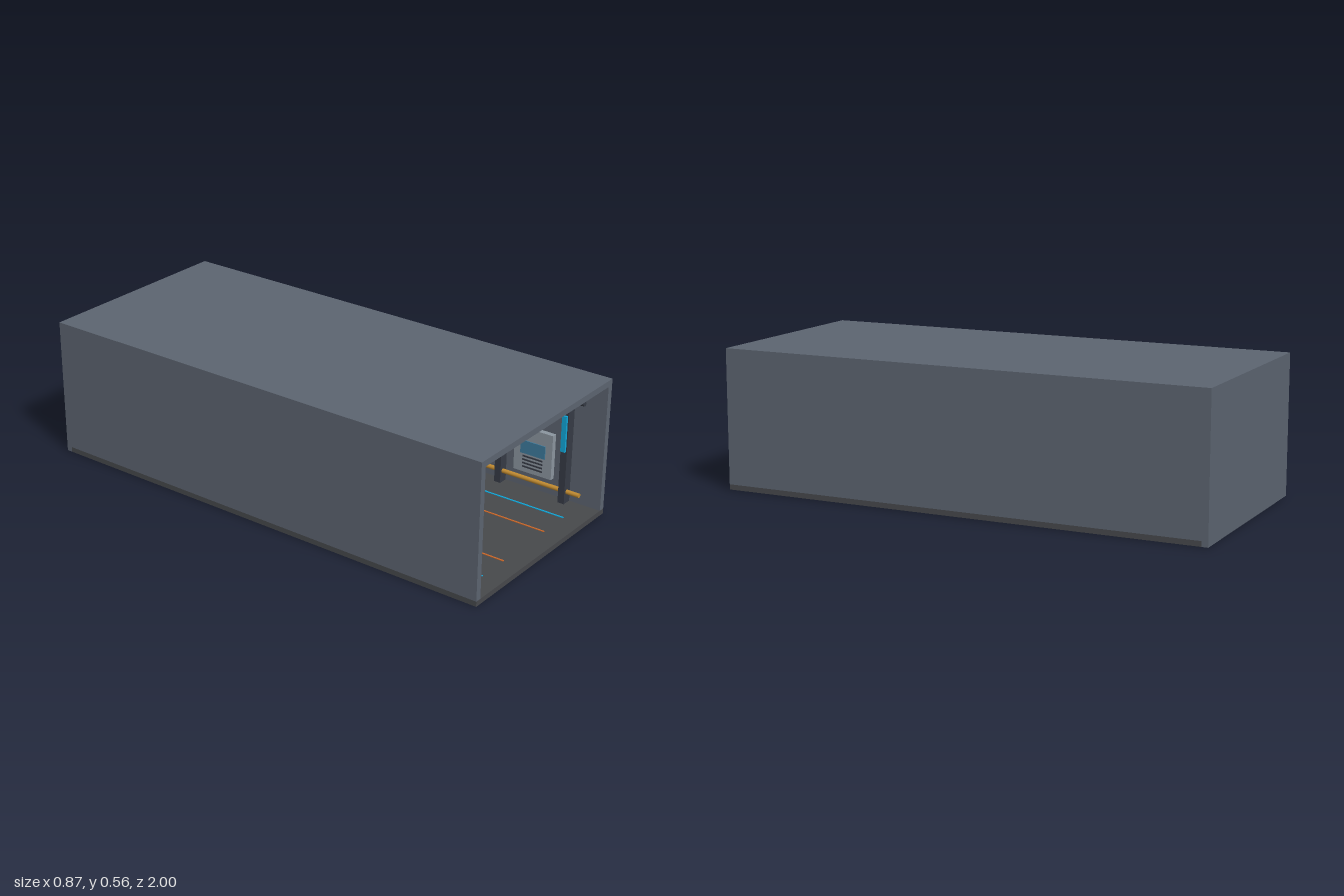
import * as THREE from 'three';

const mat = (color, extra = {}) => new THREE.MeshStandardMaterial({ color, ...extra });
const M = {
  hull: mat(0x5c6470), dark: mat(0x363b45), floor: mat(0x46484b), glass: mat(0x3d7a9c),
  cyan: mat(0x11a6d8), orange: mat(0xc8672a), amber: mat(0xc08a30), red: mat(0x722f37),
  pale: mat(0x8b959f), white: mat(0xd5dde2), base: mat(0x303236),
};

function add(parent, name, geo, material, x = 0, y = 0, z = 0) {
  const m = new THREE.Mesh(geo, material);
  m.name = name;
  m.position.set(x, y, z);
  parent.add(m);
  return m;
}
// Box given by its minimum and maximum on each axis
function span(parent, name, material, x0, x1, y0, y1, z0, z1) {
  return add(parent, name, new THREE.BoxGeometry(Math.abs(x1 - x0), y1 - y0, z1 - z0),
    material, (x0 + x1) / 2, (y0 + y1) / 2, (z0 + z1) / 2);
}
const cyl = (r0, r1, h, n = 24) => new THREE.CylinderGeometry(r0, r1, h, n);

// Swivel seat facing the window (-z)
function chair(x, z) {
  const g = new THREE.Group();
  g.name = 'chair';
  g.position.set(x, 0, z);
  add(g, 'seatBase', cyl(0.042, 0.042, 0.024), M.base, 0, 0.012, 0);
  add(g, 'seatPost', cyl(0.008, 0.008, 0.065, 12), M.dark, 0, 0.055, 0);
  add(g, 'seatCushion', new THREE.SphereGeometry(0.042, 24, 12), M.red, 0, 0.092, 0).scale.set(1, 0.25, 1);
  const back = add(g, 'backrest', new THREE.SphereGeometry(0.042, 24, 16), M.red, 0, 0.145, 0.034);
  back.scale.set(1, 1.38, 0.3);
  back.rotation.x = 0.1;
  for (const s of [-1, 1]) {
    const arm = new THREE.CatmullRomCurve3([
      new THREE.Vector3(s * 0.036, 0.094, 0.01), new THREE.Vector3(s * 0.043, 0.112, 0.012),
      new THREE.Vector3(s * 0.046, 0.127, 0.01), new THREE.Vector3(s * 0.046, 0.127, -0.03)]);
    add(g, 'armrest', new THREE.TubeGeometry(arm, 12, 0.0025, 6), M.amber);
  }
  return g;
}

// Round table with a globe inside a ring
function globeTable(z) {
  const g = new THREE.Group();
  g.name = 'globeTable';
  g.position.z = z;
  add(g, 'tablePedestal', cyl(0.075, 0.07, 0.093, 32), M.dark, 0, 0.0685, 0);
  add(g, 'tableRim', cyl(0.08, 0.08, 0.012, 32), M.cyan, 0, 0.121, 0);
  add(g, 'globe', new THREE.SphereGeometry(0.068, 32, 20), M.cyan, 0, 0.228, 0);
  add(g, 'globeMeridian', new THREE.TorusGeometry(0.104, 0.002, 8, 48), M.glass, 0, 0.228, 0).rotation.y = Math.PI / 2;
  add(g, 'globeEquator', new THREE.TorusGeometry(0.104, 0.002, 8, 48), M.glass, 0, 0.228, 0).rotation.x = Math.PI / 2;
  add(g, 'globeRing', new THREE.TorusGeometry(0.104, 0.003, 8, 48), M.orange, 0, 0.23, 0);
  return g;
}

export function createModel() {
  const root = new THREE.Group();
  root.name = 'controlRoom';

  // Shell, open at the front
  span(root, 'floor', M.floor, -0.435, 0.435, 0.001, 0.022, -0.975, 1);
  span(root, 'ceiling', M.hull, -0.435, 0.435, 0.54, 0.565, -1, 1);
  span(root, 'backWall', M.hull, -0.435, 0.435, 0.001, 0.54, -1, -0.975);
  for (const s of [-1, 1]) span(root, 'sideWall', M.hull, s * 0.41, s * 0.435, 0.022, 0.54, -0.975, 1);

  // Ribs with lit strips, and a ceiling beam at each
  const pitch = 0.29;
  for (let i = 0; i < 7; i++) {
    const z = 0.85 - i * pitch;
    span(root, 'ceilingBeam', M.dark, -0.41, 0.41, 0.5, 0.54, z - 0.014, z + 0.014);
    for (const s of [-1, 1]) {
      span(root, 'rib', M.dark, s * 0.37, s * 0.41, 0.022, 0.5, z - 0.014, z + 0.014);
      span(root, 'ribLight', i % 2 ? M.orange : M.cyan, s * 0.36, s * 0.372, 0.245, 0.395, z - 0.01, z + 0.01);
    }
  }

  // Ceiling lights: one ahead of the first beam and one in each bay
  span(root, 'ceilingLight', M.white, -0.13, 0.13, 0.533, 0.541, 0.88, 0.94);
  for (let i = 0; i < 6; i++) {
    const z = 0.705 - i * pitch;
    span(root, 'ceilingLight', M.white, -0.13, 0.13, 0.533, 0.541, z - 0.09, z + 0.09);

    // Wall panels with a screen and vent slots
    for (const s of [-1, 1]) {
      span(root, 'wallPanel', M.pale, s * 0.388, s * 0.41, 0.095, 0.283, z - 0.085, z + 0.085);
      span(root, 'wallScreen', M.glass, s * 0.384, s * 0.389, 0.175, 0.23, z - 0.055, z + 0.055);
      for (let k = 0; k < 4; k++) {
        const y = 0.115 + k * 0.015;
        span(root, 'ventSlot', M.dark, s * 0.385, s * 0.389, y, y + 0.006, z - 0.045, z + 0.045);
      }
    }
  }

  // Pipes and floor guide strips
  for (const s of [-1, 1]) {
    add(root, 'upperPipe', cyl(0.009, 0.009, 1.84, 16), M.dark, s * 0.386, 0.455, 0).rotation.x = Math.PI / 2;
    add(root, 'lowerRail', cyl(0.009, 0.009, 1.84, 16), M.amber, s * 0.386, 0.07, 0).rotation.x = Math.PI / 2;
    span(root, 'outerFloorStrip', M.cyan, s * 0.272, s * 0.279, 0.021, 0.0245, -0.92, 0.92);
    span(root, 'innerFloorStrip', M.orange, s * 0.135, s * 0.142, 0.021, 0.0245, -0.92, 0.92);
  }

  // Window with its frame
  span(root, 'windowPane', M.glass, -0.352, 0.352, 0.204, 0.486, -0.976, -0.966);
  for (const x of [-0.362, -0.182, 0, 0.182, 0.362])
    span(root, 'mullion', M.dark, x - 0.006, x + 0.006, 0.19, 0.5, -0.976, -0.955);
  span(root, 'windowHeader', M.dark, -0.368, 0.368, 0.498, 0.508, -0.976, -0.955);

  // Raised step and consoles below the window
  for (const s of [-1, 1]) {
    span(root, 'step', M.pale, s * 0.07, s * 0.37, 0.022, 0.055, -0.975, -0.82);
    span(root, 'console', M.dark, s * 0.09, s * 0.3, 0.055, 0.125, -0.95, -0.85);
    span(root, 'consoleTrim', M.orange, s * 0.09, s * 0.3, 0.119, 0.123, -0.85, -0.847);
    for (const x of [0.1, 0.262]) {
      const hood = span(root, 'consoleHood', M.dark, s * (x - 0.02), s * (x + 0.02), 0.115, 0.163, -0.95, -0.92);
      hood.rotation.x = -0.2;
    }
    const screen = span(root, 'consoleScreen', M.glass, s * 0.24, s * 0.3, 0.138, 0.175, -0.918, -0.912);
    screen.rotation.x = -0.2;
  }
  span(root, 'centreConsole', M.dark, -0.06, 0.06, 0.022, 0.16, -0.97, -0.9);
  root.add(globeTable(-0.78));

  // Two rows of five seats and a forward pair
  for (const z of [-0.636, -0.427])
    for (const x of [-0.312, -0.157, 0, 0.157, 0.312]) root.add(chair(x, z));
  for (const s of [-1, 1]) root.add(chair(s * 0.2, -0.21));

  return root;
}
